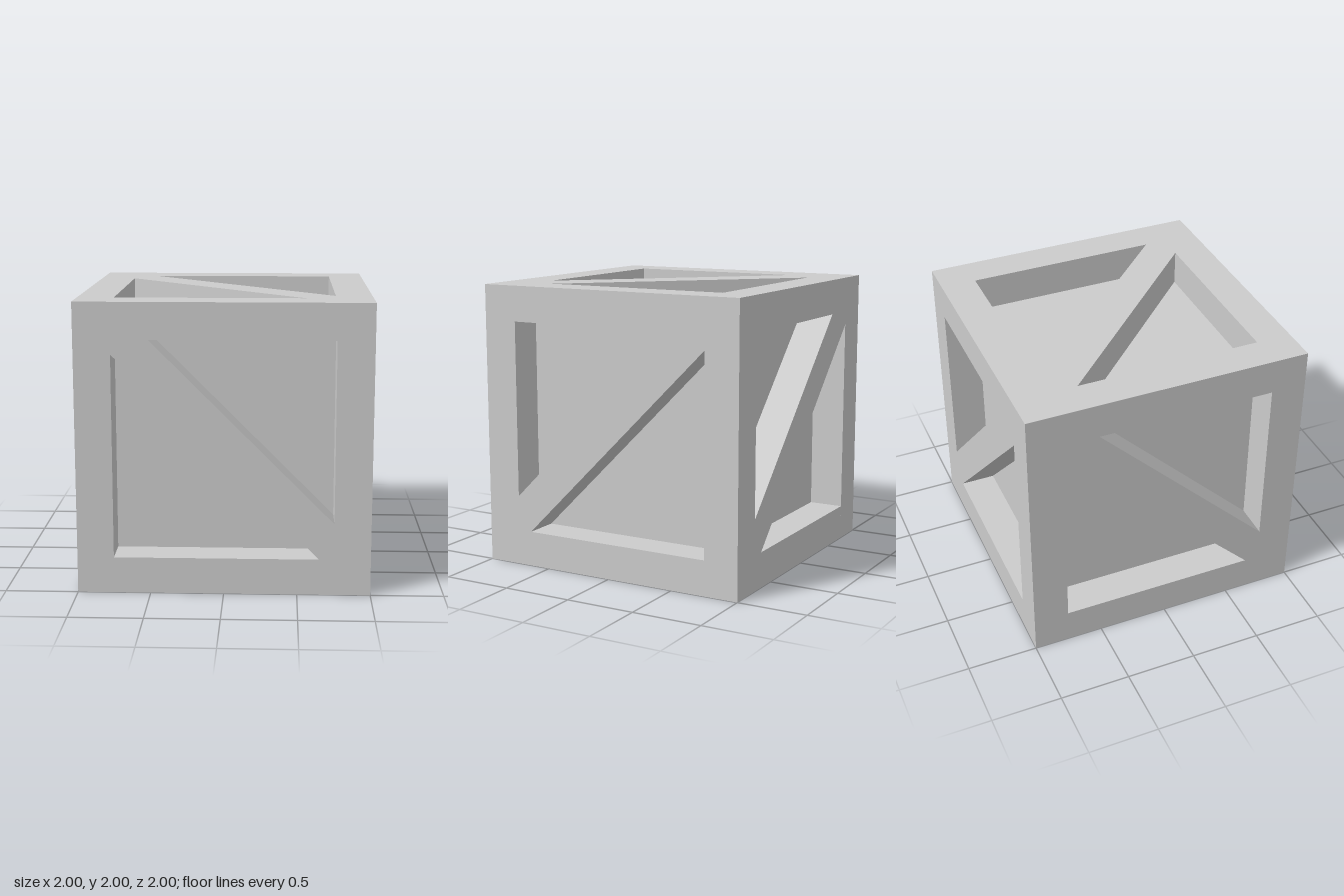
import * as THREE from 'three';

const SIZE = 2;            // outer cube
const BEAM = 0.25;         // beam thickness and panel recess
const INNER = SIZE - 2 * BEAM;
const H = INNER / 2;
const OFF = H + BEAM / 2;  // beam centre line

export function createModel() {
  const crate = new THREE.Group();
  crate.name = 'crate';
  const grey = new THREE.MeshStandardMaterial({ color: 0xcccccc });
  grey.name = 'grey';

  const add = (parent, name, geometry, x = 0, y = 0, z = 0) => {
    const mesh = new THREE.Mesh(geometry, grey);
    mesh.name = name;
    mesh.position.set(x, y, z);
    parent.add(mesh);
  };

  // Everything is built around the cube's centre, then lifted to the ground
  const body = new THREE.Group();
  body.name = 'crateBody';
  body.position.y = SIZE / 2;
  crate.add(body);

  // Inner box whose faces are the recessed panels
  add(body, 'recessedPanels', new THREE.BoxGeometry(INNER, INNER, INNER));

  // Twelve edge beams
  const post = new THREE.BoxGeometry(BEAM, SIZE, BEAM);
  const crossRail = new THREE.BoxGeometry(INNER, BEAM, BEAM);
  const sideRail = new THREE.BoxGeometry(BEAM, BEAM, INNER);
  for (const a of [-OFF, OFF]) {
    for (const b of [-OFF, OFF]) {
      add(body, 'cornerPost', post, a, 0, b);
      add(body, 'crossRail', crossRail, 0, a, b);
      add(body, 'sideRail', sideRail, a, b, 0);
    }
  }

  // Diagonal brace between two triangular openings with the given leg lengths
  const braceGeometry = (upperLeg, lowerLeg) => {
    const shape = new THREE.Shape([
      [-H, H], [H - upperLeg, H], [H, H - upperLeg],
      [H, -H], [lowerLeg - H, -H], [-H, lowerLeg - H],
    ].map(([u, v]) => new THREE.Vector2(u, v)));
    return new THREE.ExtrudeGeometry(shape, { depth: BEAM, bevelEnabled: false });
  };

  // A matching brace on each of two opposite faces
  const bracePair = (name, geometry, rx, ry) => {
    const pair = new THREE.Group();
    pair.name = name;
    pair.rotation.set(rx, ry, 0);
    add(pair, 'diagonalBrace', geometry, 0, 0, H);
    add(pair, 'diagonalBrace', geometry, 0, 0, -H - BEAM);
    body.add(pair);
  };
  const wallBrace = braceGeometry(1.25, 1.4);
  bracePair('frontAndBackBraces', wallBrace, 0, 0);
  bracePair('sideBraces', wallBrace, 0, -Math.PI / 2);
  bracePair('topAndBottomBraces', braceGeometry(1.35, 1.3), -Math.PI / 2, 0);

  return crate;
}
